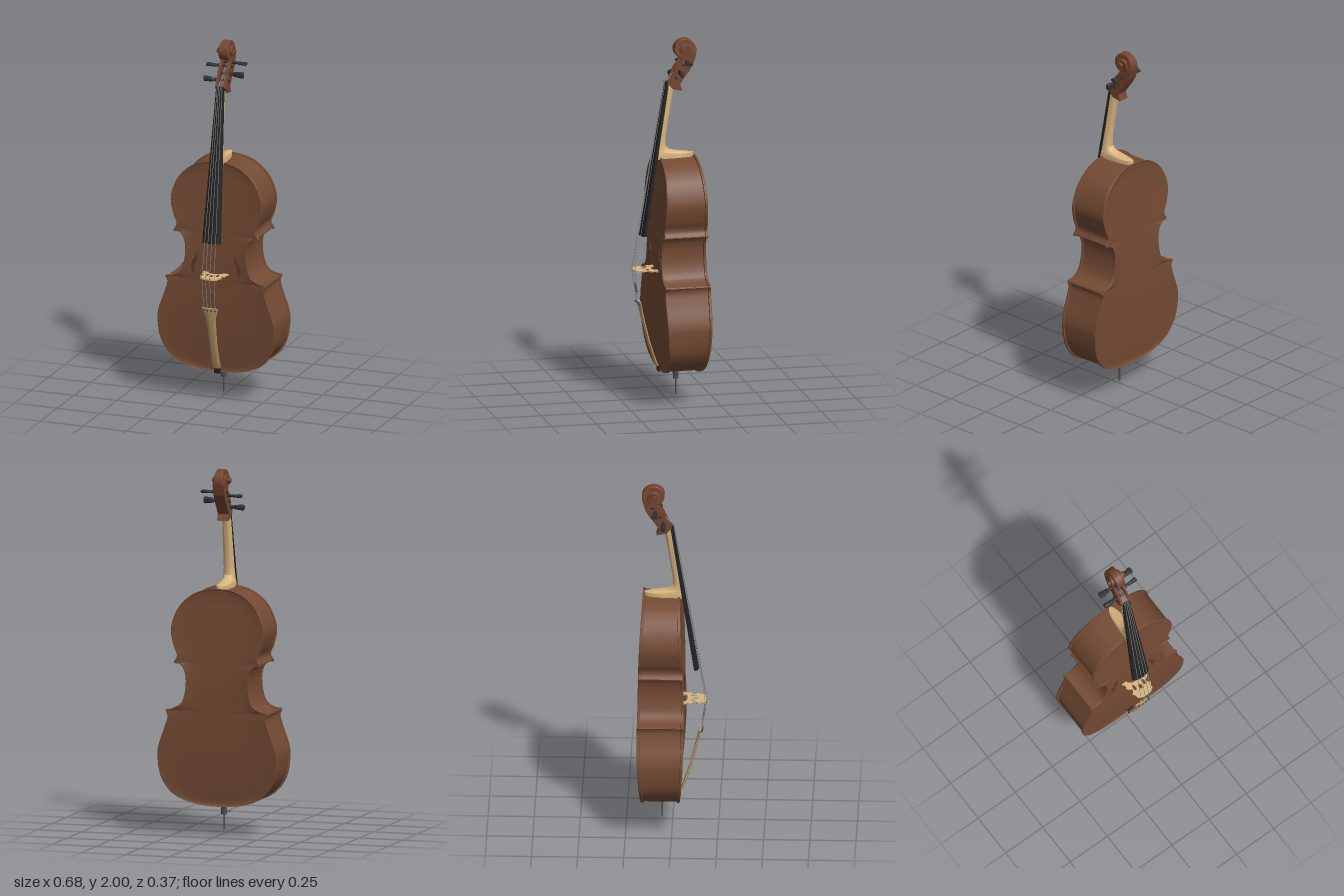
import * as THREE from 'three';
import { toCreasedNormals } from 'three/addons/utils/BufferGeometryUtils.js';

const material = (name, color, side = THREE.FrontSide) =>
  Object.assign(new THREE.MeshStandardMaterial({ color, side }), { name });
const V = (x, y, z) => new THREE.Vector3(x, y, z);

// Skin a list of closed cross-section rings, cap both ends, face outward
function loft(rings, crease = 0.6) {
  const n = rings[0].length, pts = rings.flat(), tris = [];
  for (let i = 0; i < rings.length - 1; i++) for (let j = 0; j < n; j++) {
    const a = i * n + j, b = i * n + (j + 1) % n;
    tris.push([a, a + n, b], [b, a + n, b + n]);
  }
  const total = pts.length;
  [rings[0], rings[rings.length - 1]].forEach((ring, e) => {
    const c = pts.push(ring.reduce((s, p) => s.add(p), V(0, 0, 0)).divideScalar(n)) - 1;
    const o = e ? total - n : 0;
    for (let j = 0; j < n; j++) {
      const a = o + j, b = o + (j + 1) % n;
      tris.push(e ? [a, c, b] : [a, b, c]);
    }
  });
  const volume = tris.reduce((s, [a, b, c]) => s + pts[a].dot(pts[b].clone().cross(pts[c])), 0);
  if (volume < 0) tris.forEach(t => t.reverse());
  const g = new THREE.BufferGeometry().setFromPoints(pts);
  g.setIndex(tris.flat());
  return toCreasedNormals(g, crease);
}

// Body half-depth along its height; both plates mirror about Z_MID
const Z_MID = -0.0605;
const halfDepth = y => 0.1265 - (y - 0.6) ** 2 * (y > 0.6 ? 0.043 : 0.145);

// Right half of the outline, top to bottom, broken at the corners
function outline() {
  const segments = [
    [[0, 1.348], [0.07, 1.342], [0.15, 1.312], [0.225, 1.24], [0.265, 1.13], [0.25, 1.035], [0.229, 0.98], [0.247, 0.946]],
    [[0.245, 0.936], [0.215, 0.933], [0.19, 0.905], [0.178, 0.85], [0.184, 0.775], [0.207, 0.715], [0.25, 0.688], [0.287, 0.684]],
    [[0.292, 0.673], [0.281, 0.645], [0.3, 0.58], [0.332, 0.49], [0.34, 0.42], [0.32, 0.305], [0.25, 0.215], [0.13, 0.168], [0, 0.158]],
  ];
  return segments.flatMap(s => new THREE.SplineCurve(s.map(p => new THREE.Vector2(...p))).getPoints(40));
}

function bodyGeometry() {
  const line = outline(), cols = 20;
  const rings = line.map((p, i) => {
    const t = line[Math.min(i + 1, line.length - 1)].clone().sub(line[Math.max(i - 1, 0)]).normalize();
    const w = Math.max(p.x, 0), h = halfDepth(p.y);
    const rx = Math.max(w + t.y * 0.008, 0), ry = p.y - t.x * 0.008;
    const plate = s => Array.from({ length: cols + 1 }, (_, k) => {
      const u = (k / cols * 2 - 1) * s;
      const dip = 0.01 * Math.min(w / 0.2, 1) * (1 - u ** 4);
      return V(u * Math.max(w - 0.003, 0), p.y, Z_MID + s * (h - dip));
    });
    const side = s => [[w, p.y, h - 0.003], [w, p.y, h - 0.013], [rx, ry, h - 0.015],
      [rx, ry, 0.015 - h], [w, p.y, 0.013 - h], [w, p.y, 0.003 - h]].map(([x, y, z]) => V(s * x, y, Z_MID + s * z));
    return [...plate(1), ...side(1), ...plate(-1), ...side(-1)];
  });
  return loft(rings, 0.7);
}

// Board section: arched front, flat back
const boardRing = (y, w, z, sag, thick) => [
  ...Array.from({ length: 13 }, (_, k) => { const u = k / 6 - 1; return V(u * w, y, z - sag * u * u); }),
  V(w, y, z - thick), V(-w, y, z - thick)];

// Extrude a (z, y) profile across x
function sideExtrude(profile, x0, x1) {
  const shape = new THREE.Shape(profile.map(p => new THREE.Vector2(...p)));
  return new THREE.ExtrudeGeometry(shape, { depth: x1 - x0, bevelEnabled: false }).rotateY(-Math.PI / 2).translate(x1, 0, 0);
}

function rod(a, b, r, sides = 8) {
  const d = b.clone().sub(a), g = new THREE.CylinderGeometry(r, r, d.length(), sides);
  g.applyQuaternion(new THREE.Quaternion().setFromUnitVectors(V(0, 1, 0), d.clone().normalize()));
  const m = a.clone().add(b).multiplyScalar(0.5);
  return g.translate(m.x, m.y, m.z);
}

export function createModel() {
  const model = new THREE.Group();
  model.name = 'cello';
  const varnish = material('brown varnish', 0x754b34);
  const headWood = material('head wood', 0x74452f);
  const shade = material('sound hole brown', 0x5c3a28);
  const maple = material('pale maple', 0xd9b47e);
  const tailWood = material('tailpiece wood', 0xbd9b6c);
  const ebony = material('ebony', 0x222222);
  const pegBlack = material('peg black', 0x2e3033);
  const steel = material('steel', 0x8c9094);
  const darkSteel = material('dark steel', 0x4a4a4c);
  const add = (name, geometry, mat, parent = model) => {
    const mesh = new THREE.Mesh(geometry, mat);
    mesh.name = name;
    parent.add(mesh);
    return mesh;
  };

  add('body', bodyGeometry(), varnish);

  // Sound holes as thin plates following the front
  for (const s of [1, -1]) {
    const pts = [[0.112, 0.84], [0.106, 0.80], [0.118, 0.775], [0.125, 0.72], [0.138, 0.713], [0.145, 0.75], [0.135, 0.785], [0.12, 0.80]];
    const g = new THREE.ExtrudeGeometry(new THREE.Shape(pts.map(([x, y]) => new THREE.Vector2(s * x, y))), { depth: 0.006, bevelEnabled: false });
    add(s > 0 ? 'leftSoundHole' : 'rightSoundHole', g.translate(0, 0, 0.0555), shade);
  }

  // Neck and heel: [y, half width, front z, back z]
  const neck = [[1.335, 0.036, 0.05, -0.155], [1.362, 0.036, 0.046, -0.155], [1.369, 0.035, 0.045, -0.11], [1.375, 0.034, 0.044, -0.06],
    [1.385, 0.032, 0.043, -0.02], [1.405, 0.031, 0.04, 0], [1.45, 0.029, 0.033, 0.001], [1.55, 0.027, 0.016, -0.015],
    [1.66, 0.025, -0.001, -0.033], [1.71, 0.024, -0.009, -0.043], [1.735, 0.023, -0.012, -0.055]];
  add('neck', loft(neck.map(([y, w, f, b]) => Array.from({ length: 17 }, (_, k) => {
    const a = Math.PI * k / 16;
    return V(w * Math.cos(a), y, f - (f - b) * Math.max(Math.sin(a), 0) ** 0.7);
  }))), maple);

  add('fingerboard', loft([boardRing(1.757, 0.022, 0.005, 0.005, 0.018), boardRing(0.913, 0.052, 0.145, 0.014, 0.028)]), ebony);
  add('nut', new THREE.BoxGeometry(0.044, 0.01, 0.018).translate(0, 1.757, -0.003), ebony);

  // Pegbox: two cheeks and a back wall
  const head = new THREE.Group();
  head.name = 'head';
  model.add(head);
  const back = [[-0.165, 1.92], [-0.148, 1.86], [-0.125, 1.82], [-0.10, 1.787], [-0.074, 1.748], [-0.088, 1.712], [-0.035, 1.722]];
  const cheek = [[-0.004, 1.755], [-0.03, 1.80], [-0.05, 1.845], [-0.085, 1.89], [-0.09, 1.925], [-0.12, 1.94], ...back];
  for (const s of [1, -1]) add('pegboxCheek', sideExtrude(cheek, s > 0 ? 0.018 : -0.031, s > 0 ? 0.031 : -0.018), headWood, head);
  add('pegboxBack', sideExtrude([[-0.01, 1.75], [-0.045, 1.765], [-0.08, 1.80], [-0.12, 1.86], [-0.13, 1.92], ...back], -0.018, 0.018), headWood, head);

  // Scroll: a band winding inward and widening toward the eye
  const turns = [];
  for (let k = 0; k <= 110; k++) {
    const a = -0.6 + (4 * Math.PI + 0.6) * k / 110, r = 0.068 - 0.0045 * a, inner = Math.max(r - 0.03, 0.001);
    const w = a < 1 ? 0.021 + 0.006 * (1 - a) : 0.021 + 0.029 * (a - 1) / (4 * Math.PI - 1);
    const at = (x, q) => V(x, 1.937 + q * Math.sin(a), -0.098 - q * Math.cos(a));
    turns.push([at(-w, inner), at(-w, r - 0.003), at(-w + 0.003, r), at(w - 0.003, r), at(w, r - 0.003), at(w, inner)]);
  }
  add('scroll', loft(turns), headWood, head);
  add('scrollEye', new THREE.CylinderGeometry(0.014, 0.014, 0.104, 20).rotateZ(Math.PI / 2).translate(0, 1.937, -0.098), headWood, head);

  // Tuning pegs: [side, y, z, flatten y, flatten z]
  const pegs = [[1, 1.873, -0.109, 0.5, 1], [-1, 1.853, -0.094, 0.55, 1], [1, 1.82, -0.067, 1, 0.6], [-1, 1.785, -0.05, 0.85, 0.8]];
  const headProfile = [[0, 0.05], [0.009, 0.051], [0.013, 0.056], [0.015, 0.07], [0.019, 0.104], [0.017, 0.111], [0, 0.114]];
  for (const [s, y, z, fy, fz] of pegs) {
    const peg = new THREE.Group();
    peg.name = 'tuningPeg';
    peg.position.set(0, y, z);
    if (s < 0) peg.rotation.y = Math.PI;
    model.add(peg);
    add('pegShaft', rod(V(-0.037, 0, 0), V(0.06, 0, 0), 0.0075, 12), pegBlack, peg);
    add('pegCollar', rod(V(0.042, 0, 0), V(0.046, 0, 0), 0.011, 14), pegBlack, peg);
    const knob = new THREE.LatheGeometry(headProfile.map(p => new THREE.Vector2(...p)), 18).rotateZ(-Math.PI / 2).scale(1, fy, fz);
    add('pegHead', toCreasedNormals(knob, 0.7), pegBlack, peg);
  }

  // Bridge, with heart and side cut-outs
  const half = [[0.02, 0.184], [0.036, 0.178], [0.05, 0.169], [0.052, 0.15], [0.062, 0.136], [0.05, 0.128], [0.045, 0.112],
    [0.06, 0.102], [0.071, 0.09], [0.062, 0.078], [0.075, 0.058], [0.075, 0.052], [0.045, 0.052], [0.042, 0.068], [0.022, 0.082]];
  const bridge = new THREE.Shape([...half, ...half.map(([x, z]) => [-x, z]).reverse()].map(p => new THREE.Vector2(...p)));
  for (const [x, z, rx, rz] of [[0, 0.125, 0.01, 0.015], [0.03, 0.112, 0.008, 0.018], [-0.03, 0.112, 0.008, 0.018]])
    bridge.holes.push(new THREE.Path().absellipse(x, z, rx, rz, 0, Math.PI * 2, true));
  add('bridge', new THREE.ExtrudeGeometry(bridge, { depth: 0.008, bevelEnabled: false, curveSegments: 8 }).rotateX(Math.PI / 2).translate(0, 0.726, 0), maple);

  // Tailpiece: [y, half width, front z]
  const tail = [[0.55, 0.047, 0.158], [0.535, 0.043, 0.156], [0.5, 0.031, 0.148], [0.44, 0.025, 0.134], [0.32, 0.021, 0.104], [0.21, 0.023, 0.068], [0.182, 0.02, 0.056]];
  add('tailpiece', loft(tail.map(([y, w, z]) => boardRing(y, w, z, 0.007, 0.014))), tailWood);
  add('saddle', new THREE.BoxGeometry(0.036, 0.034, 0.022).translate(0, 0.168, 0.034), ebony);

  // Strings from peg to nut, bridge and tailpiece
  [-1.5, -0.5, 0.5, 1.5].forEach((k, i) => {
    const p = pegs[[3, 1, 0, 2][i]];
    const nut = V(k * 0.009, 1.76, 0.009 - 0.0015 * k * k), top = V(k * 0.024, 0.722, 0.187 - 0.004 * k * k);
    const end = V(k * 0.022, 0.54, 0.157 - 0.001 * k * k);
    const path = [V(k * 0.008, p[1], p[2] + 0.008), nut, top, end];
    for (let j = 0; j < 3; j++) add('string', rod(path[j], path[j + 1], 0.0016, 6), steel);
    add('fineTuner', rod(end.clone().add(V(0, -0.005, -0.004)), end.clone().add(V(0, 0.004, 0.008)), 0.004, 8), darkSteel);
  });
  add('stringMute', rod(V(0.023, 0.60, 0.165), V(0.02, 0.65, 0.174), 0.005, 10), darkSteel);

  // Endpin with collar, thumb screw and rod
  add('endpinCollar', rod(V(0, 0.105, -0.057), V(0, 0.172, -0.057), 0.016, 20), darkSteel);
  add('endpinScrew', rod(V(-0.018, 0.13, -0.057), V(-0.008, 0.13, -0.057), 0.005, 10), steel);
  add('endpinKnob', rod(V(-0.04, 0.13, -0.057), V(-0.018, 0.13, -0.057), 0.011, 14), steel);
  add('endpinRod', rod(V(0, 0.02, -0.057), V(0, 0.11, -0.057), 0.005, 12), darkSteel);
  add('endpinTip', new THREE.ConeGeometry(0.005, 0.02, 12).rotateX(Math.PI).translate(0, 0.01, -0.057), steel);

  return model;
}
